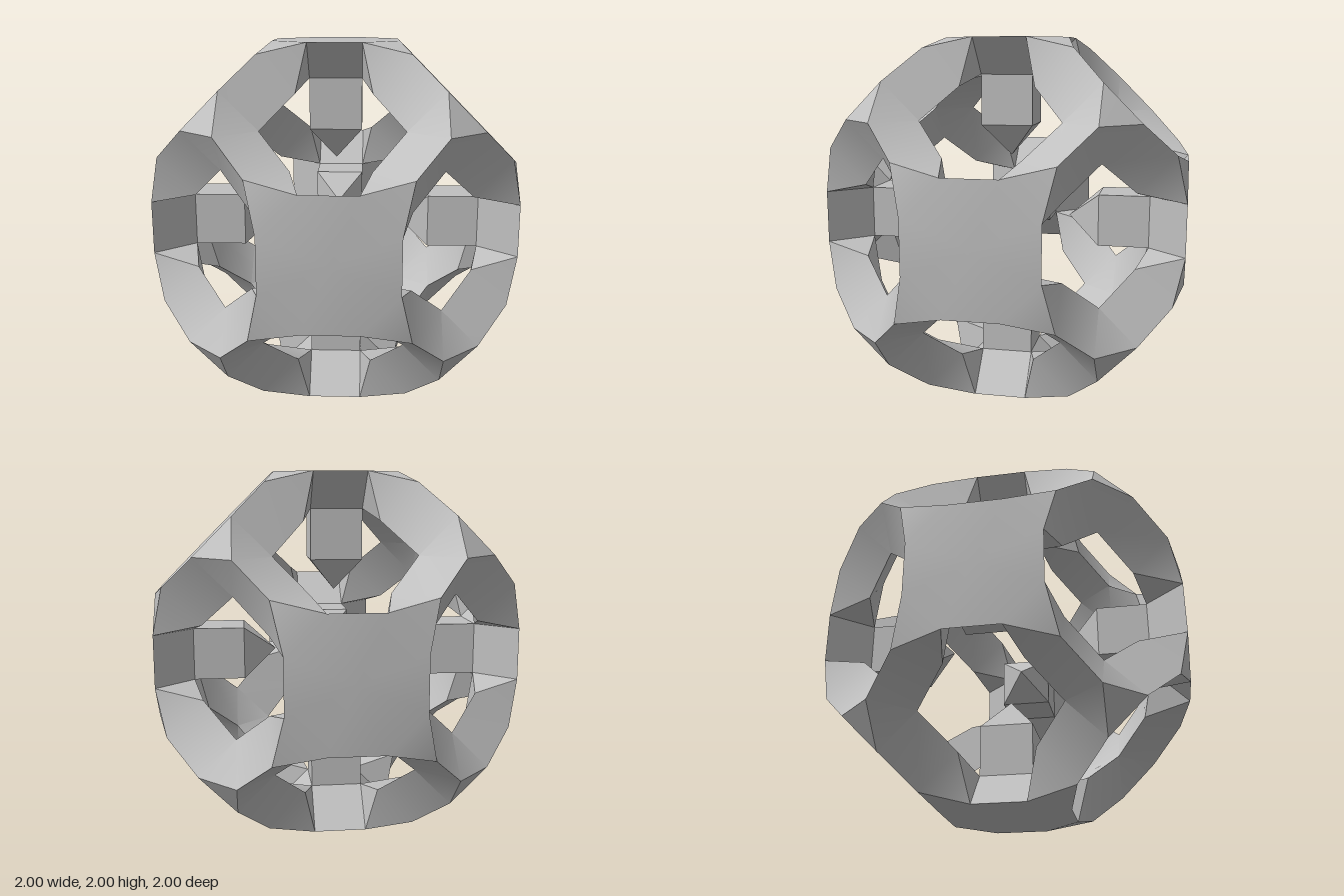
import * as THREE from 'three';
import { toCreasedNormals } from 'three/addons/utils/BufferGeometryUtils.js';

const A = 0.144, B = 0.344; // half width of a post, half width of an outer panel

// One of 24 identical sectors: the +y panel's quarter towards the (+x, +z) corner
const P = {
  top: [0, 1, 0], p1: [A, 1, B], p1m: [-A, 1, B], p2: [B, 1, A], // panel rim
  k: [0.402, 0.942, 0.402],                                      // panel corner
  o1: [0.572, 0.772, 0.572], o2: [0.572, 0.572, 0.772],          // outer corner hub
  oc: [0.639, 0.639, 0.639],
  i: [A, 0.8, A], im: [-A, 0.8, A],                              // root of the post
  b1: [0.202, 0.742, 0.402], b2: [0.402, 0.742, 0.202],          // inner strut ends
  c1: [0.372, 0.572, 0.572], c2: [0.572, 0.572, 0.372],          // inner corner hub
  ic: [0.505, 0.505, 0.505],
};
const FACES = [
  'top p1 p2', 'top p1m p1', 'p1 k p2',      // outer panel
  'p1 p1m im i', 'p1 i b1', 'p2 b2 i',       // slopes from panel to post
  'p1 b1 k', 'p2 k b2',                      // hole walls beside the panel
  'k b1 c1 o1', 'k o1 c2 b2', 'o1 c1 o2',    // hole walls along strut and hub
  'i b2 b1', 'b1 b2 c2 c1',                  // inner side of the strut
  'oc o1 o2', 'ic c1 c2',                    // thirds of the hub triangles
];

// Rotations that carry the +y side to each of the six sides
function sideRotations() {
  const q = Math.PI / 2;
  return [[0, 0], [1, 0], [2, 0], [3, 0], [0, 1], [0, -1]].map(([x, z]) =>
    new THREE.Matrix4().makeRotationFromEuler(new THREE.Euler(x * q, 0, z * q)));
}

function frameGeometry() {
  const positions = [];
  const v = new THREE.Vector3();
  for (const side of sideRotations()) {
    for (let turn = 0; turn < 4; turn++) {
      const m = side.clone().multiply(new THREE.Matrix4().makeRotationY(turn * Math.PI / 2));
      for (const face of FACES) {
        const names = face.split(' ');
        for (let n = 1; n < names.length - 1; n++) {
          for (const name of [names[0], names[n], names[n + 1]]) {
            v.fromArray(P[name]).applyMatrix4(m);
            positions.push(v.x, v.y, v.z);
          }
        }
      }
    }
  }
  const geometry = new THREE.BufferGeometry();
  geometry.setAttribute('position', new THREE.Float32BufferAttribute(positions, 3));
  return toCreasedNormals(geometry, Math.PI / 6);
}

export function createModel() {
  const model = new THREE.Group();
  model.name = 'openCage';
  const grey = new THREE.MeshStandardMaterial({ color: 0xc0c0c0 });
  grey.name = 'grey';

  // Cage of six panels, 24 struts and eight corner hubs
  const frame = new THREE.Mesh(frameGeometry(), grey);
  frame.name = 'frame';
  frame.position.y = 1;
  model.add(frame);

  // Square posts with pyramid tips, pointing inwards from each panel
  const shaftGeometry = new THREE.BoxGeometry(2 * A, 0.28, 2 * A).translate(0, 0.66, 0);
  const tipGeometry = new THREE.ConeGeometry(A * Math.SQRT2, 0.18, 4, 1, true)
    .rotateY(Math.PI / 4).rotateX(Math.PI).translate(0, 0.43, 0).toNonIndexed();
  tipGeometry.computeVertexNormals();
  for (const side of sideRotations()) {
    const post = new THREE.Group();
    post.name = 'post';
    const shaft = new THREE.Mesh(shaftGeometry, grey);
    shaft.name = 'postShaft';
    const tip = new THREE.Mesh(tipGeometry, grey);
    tip.name = 'postTip';
    post.add(shaft, tip);
    post.applyMatrix4(side);
    post.position.y = 1;
    model.add(post);
  }
  return model;
}
